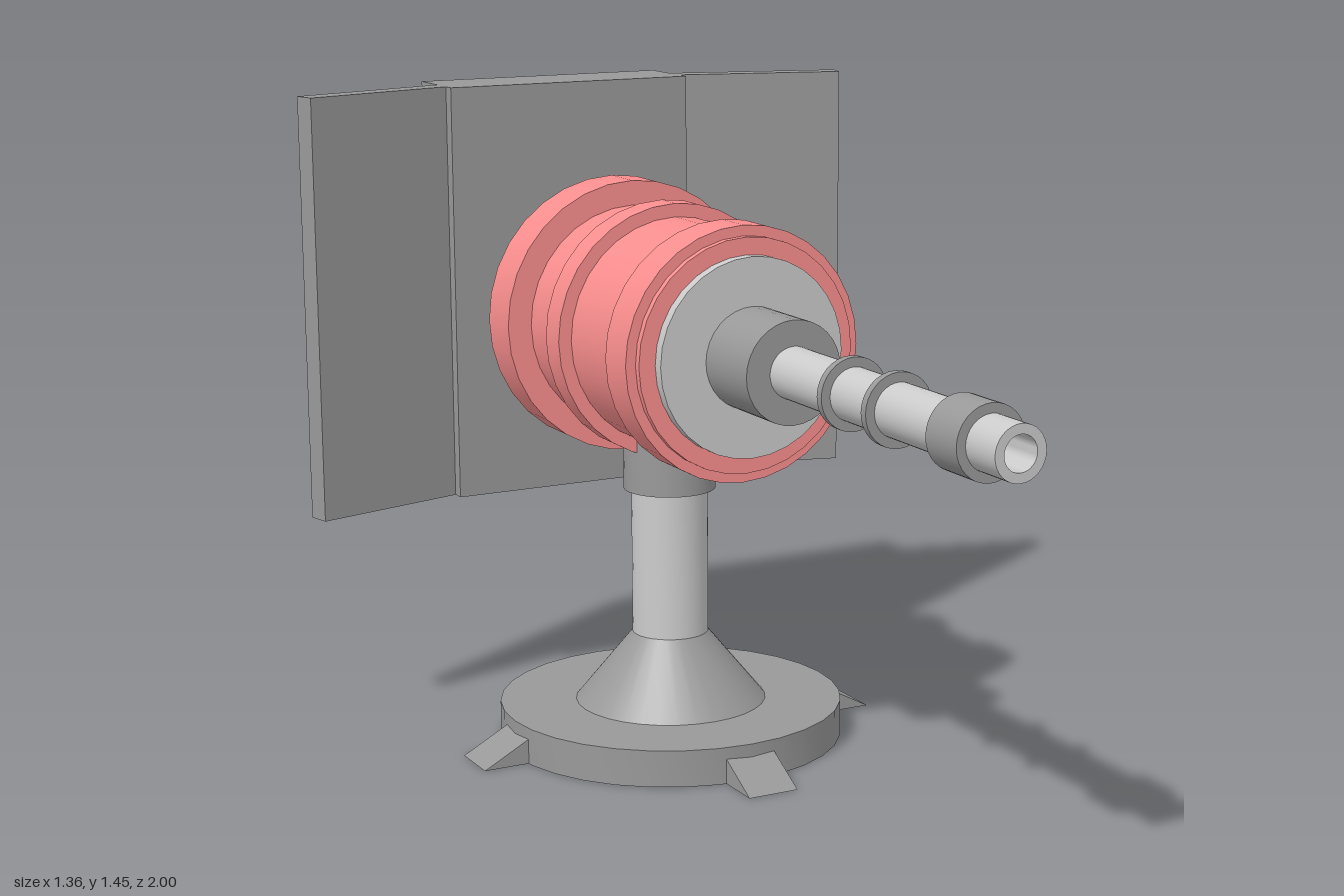
import * as THREE from 'three';
import { toCreasedNormals } from 'three/addons/utils/BufferGeometryUtils.js';

const light = new THREE.MeshStandardMaterial({ color: 0xcccccc });
const dark = new THREE.MeshStandardMaterial({ color: 0x999999 });
const red = new THREE.MeshStandardMaterial({ color: 0xfa8e8e });

const CX = 0.023;   // x of the post and barrel axis
const CZ = -0.405;  // z of the post axis
const AXIS_Y = 0.94; // height of the barrel axis

export function createModel() {
  const model = new THREE.Group();
  model.name = 'mountedTurret';

  const add = (name, geometry, material) => {
    const mesh = new THREE.Mesh(geometry, material);
    mesh.name = name;
    model.add(mesh);
    return mesh;
  };

  // Turned solid from [radius, height] pairs, with sharp edges
  const turned = (profile) => toCreasedNormals(
    new THREE.LatheGeometry(profile.map(([r, h]) => new THREE.Vector2(r, h)), 32), 0.5);
  const upright = (name, profile, material) =>
    add(name, turned(profile), material).position.set(CX, 0, CZ);
  const alongZ = (name, profile, material) =>
    add(name, turned(profile).rotateX(Math.PI / 2), material).position.set(CX, AXIS_Y, 0);
  const disc = (r, a, b) => [[0, a], [r, a], [r, b], [0, b]];

  // Stand
  upright('base', [[0, 0], [0.39, 0], [0.39, 0.083], [0.217, 0.083], [0.0865, 0.242], [0, 0.242]], dark);
  upright('post', disc(0.0865, 0.23, 0.6), light);
  upright('postCollar', disc(0.104, 0.577, 0.76), dark);

  // Four wedge feet around the base
  const wedge = new THREE.Shape([[0.3, 0], [0.49, 0], [0.385, 0.056], [0.3, 0.056]]
    .map(([x, y]) => new THREE.Vector2(x, y)));
  const footGeometry = new THREE.ExtrudeGeometry(wedge, { depth: 0.118, bevelEnabled: false })
    .translate(0, 0, -0.059);
  for (let i = 0; i < 4; i++) {
    const foot = add('foot', footGeometry, dark);
    foot.position.set(CX, 0, CZ);
    foot.rotation.y = i * Math.PI / 2;
  }

  // Drum housing with its three raised bands
  alongZ('housing', [
    [0, -0.69], [0.311, -0.69], [0.311, -0.583], [0.255, -0.583],
    [0.255, -0.437], [0.285, -0.437], [0.285, -0.37], [0.255, -0.37],
    [0.255, -0.15], [0.278, -0.15], [0.278, -0.053], [0.255, -0.053],
    [0.255, -0.037], [0, -0.037],
  ], red);
  alongZ('facePlate', disc(0.217, -0.06, -0.012), light);
  alongZ('rearShaft', disc(0.111, -0.86, -0.67), light);

  // Hollow barrel with collar, rings and muzzle band
  alongZ('barrelCollar', disc(0.111, -0.03, 0.166), dark);
  alongZ('barrel', [[0, 0.1], [0.056, 0.1], [0.056, 1], [0.036, 1], [0.036, 0.85], [0, 0.85]], light);
  for (const z of [0.402, 0.572]) alongZ('barrelRing', disc(0.076, z - 0.009, z + 0.009), dark);
  alongZ('muzzleBand', [[0.05, 0.797], [0.076, 0.797], [0.076, 0.903], [0.05, 0.903]], dark);

  // Rear shield: a thick centre slab and two swept wings, as plan outlines
  const slab = (name, plan) => {
    const shape = new THREE.Shape(plan.map(([x, z]) => new THREE.Vector2(x, -z)));
    const geometry = new THREE.ExtrudeGeometry(shape, { depth: 0.954, bevelEnabled: false });
    add(name, geometry.rotateX(-Math.PI / 2), dark).position.y = 0.5;
  };
  slab('shieldCentre', [[-0.313, -1], [0.285, -1], [0.285, -0.825], [-0.313, -0.825]]);
  for (const s of [-1, 1]) {
    slab(s > 0 ? 'leftShieldWing' : 'rightShieldWing', [[0.2, -0.936], [0.68, -0.808], [0.667, -0.758], [0.2, -0.883]]
      .map(([x, z]) => [s * x - 0.003, z]));
  }

  return model;
}
